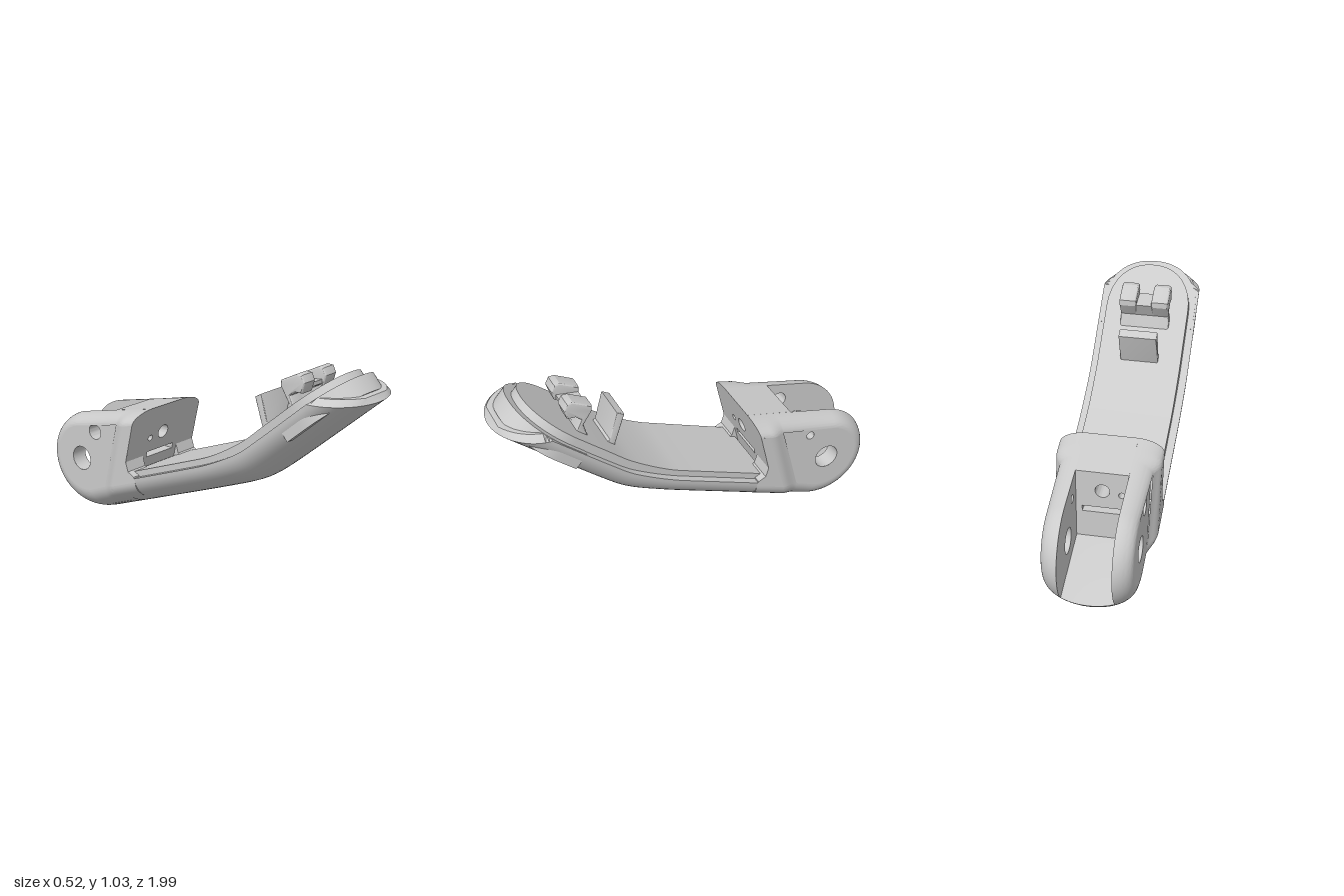
import * as THREE from 'three';
import { toCreasedNormals } from 'three/addons/utils/BufferGeometryUtils.js';

const mat = new THREE.MeshStandardMaterial({ color: 0xcccccc, side: THREE.DoubleSide });
const { smoothstep: step, lerp } = THREE.MathUtils;

function part(name, geometry, parent, crease = 0.5) {
  const mesh = new THREE.Mesh(toCreasedNormals(geometry, crease), mat);
  mesh.name = name;
  parent.add(mesh);
  return mesh;
}

// Skin a list of equal-length closed rings of [x, y, z]; optionally cap the ends with fans
function loft(rings, capped = false) {
  const n = rings[0].length, pos = rings.flat(2), idx = [];
  for (let i = 0; i < rings.length - 1; i++) {
    for (let j = 0; j < n; j++) {
      const a = i * n + j, b = i * n + (j + 1) % n;
      idx.push(a, b, a + n, b, b + n, a + n);
    }
  }
  if (capped) {
    const last = (rings.length - 1) * n;
    for (let j = 1; j < n - 1; j++) idx.push(0, j + 1, j, last, last + j, last + j + 1);
  }
  const g = new THREE.BufferGeometry();
  g.setAttribute('position', new THREE.Float32BufferAttribute(pos, 3));
  g.setIndex(idx);
  return g;
}

const shapeOf = pts => new THREE.Shape(pts.map(p => new THREE.Vector2(p[0], p[1])));
const circle = (x, y, r) => new THREE.Path().absarc(x, y, r, 0, Math.PI * 2, true);

// Flat face in the z-y plane at a given x
function sideFace(pts, x, holes = []) {
  const s = shapeOf(pts);
  holes.forEach(h => s.holes.push(circle(...h)));
  const g = new THREE.ShapeGeometry(s, 24), p = g.attributes.position;
  for (let i = 0; i < p.count; i++) p.setXYZ(i, x, p.getY(i), p.getX(i));
  g.deleteAttribute('uv');
  return g;
}

// Side profile [z, y] extruded across x
function sideExtrude(pts, x0, x1, bevel) {
  const g = new THREE.ExtrudeGeometry(shapeOf(pts), {
    depth: x1 - x0 - 2 * bevel, bevelEnabled: bevel > 0, bevelSize: bevel, bevelThickness: bevel,
    bevelOffset: -bevel, bevelSegments: 3,
  });
  return g.rotateY(-Math.PI / 2).translate(x1 - bevel, 0, 0);
}

// Underside, rim and deck heights along the bent body
const underLine = z => 0.018 + 0.377 * (z + 0.633);
const under = z => {
  const a = underLine(z), b = 0.075 + 0.845 * z;
  return (a + b + Math.hypot(a - b, 0.03)) / 2;
};
const rimDepth = z => lerp(0.165, 0.195, step(z, 0.1, 0.5));
const rim = z => under(z) + rimDepth(z);
const deckTop = z => rim(z) + lerp(0.035, 0.058, step(z, 0.1, 0.5));

// Trough-shaped body, cut level at the tip with a raised lip
function bodyGeometry() {
  const rings = [], N = 28;
  for (let i = 0; i <= 70; i++) {
    const z = -0.4 + 1.4 * Math.sin((i / 70) * Math.PI / 2);
    const top = rim(z), d = rimDepth(z), edge = Math.min(top, 0.92);
    const tm = Math.acos(Math.min(1, (top - edge) / d));
    const ring = [];
    for (let j = 0; j <= N; j++) {
      const t = tm * (2 * j / N - 1);
      ring.push([0.26 * Math.sin(t), top - d * Math.cos(t), z]);
    }
    const xi = Math.max(0, 0.26 * Math.sin(tm) - 0.035);
    const yi = Math.min(top, 0.95, 0.92 + (1 - z));
    ring.push([xi, yi, z], [-xi, yi, z]);
    rings.push(ring);
  }
  return loft(rings, true);
}

// Layer following the body with a rounded front end
function layerGeometry(z0, zEnd, w, h, height) {
  const rings = [], zs = [], round = 0.2;
  for (let i = 0; i < 30; i++) zs.push(lerp(z0, zEnd - round, i / 30));
  for (let i = 0; i <= 20; i++) zs.push(zEnd - round + round * Math.sin((i / 20) * Math.PI / 2));
  for (const z of zs) {
    const q = Math.max(0, (z - zEnd + round) / round);
    const x = w * Math.pow(Math.max(0, 1 - Math.pow(q, 2.2)), 1 / 2.2);
    const y = height(z), dz = 0.65 * h * step(z, 0.2, 0.5);
    rings.push([[-x, y, z], [-x, y - 0.76 * h, z + dz], [x, y - 0.76 * h, z + dz], [x, y, z]]);
  }
  return loft(rings, true);
}

// Hinge: rounded side outline whose edge draws in towards the outer face
const C = [-0.73, 0.275], R = 0.275, W = 0.22, SLOT = 0.13;
const A0 = 1.77, A1 = 5.074;
const frontZ = y => -0.375 + 0.065 * (y - 0.38) / 0.27;
const topLine = z => 0.65 + 0.22 * (z + 0.31);
function inset(x, k) {
  const low = 1 - Math.sqrt(Math.max(0, 1 - (x / W) ** 2));
  const q = Math.max(0, (x - 0.12) / 0.1);
  const high = 1 - Math.sqrt(Math.max(0, 1 - q * q));
  return lerp(0.135 * low, 0.06 * high, k);
}
function arc(x, from, to, n) {
  return Array.from({ length: n + 1 }, (_, i) => {
    const a = lerp(from, to, i / n), r = R - inset(x, (1 + Math.sin(a)) / 2);
    return [C[0] + r * Math.cos(a), C[1] + r * Math.sin(a)];
  });
}
const K = 8, ARC = 40;
function hingeOutline(x) {
  const it = inset(x, 1) * 1.02, ib = inset(x, 0) * 1.07;
  const us = Array.from({ length: K + 1 }, (_, k) => 0.1 * k / K);
  const top = us.map(u => [-0.47 + u, topLine(-0.47 + u) - it]).reverse();
  const bottom = us.map(u => [-0.57 + u, underLine(-0.57 + u) + ib]);
  const yTop = 0.65 - it;
  return [[frontZ(yTop), yTop], ...top, ...arc(x, A0, A1, ARC), ...bottom,
    [-0.31, underLine(-0.31) + ib], [-0.32, 0.31], [-0.36, 0.33], [-0.375, 0.38]];
}
// Sideways flare of the hinge towards the body, along a slanted crease
const flare = (x, z, y) => {
  const s = step(z - 0.2 * (y - 0.6), -0.49, -0.39);
  return SLOT + (x - SLOT) * (1 + 0.444 * s);
};

function hingeSide(side, smallHole, parent) {
  const g = new THREE.Group();
  g.name = side > 0 ? 'leftHingeCheek' : 'rightHingeCheek';
  parent.add(g);
  const holes = [[-0.74, 0.31, 0.065], [-0.635, 0.48, smallHole]];
  const t0 = Math.asin(SLOT / W), rings = [];
  for (let i = 0; i <= 14; i++) {
    const x = W * Math.sin(lerp(t0, Math.PI / 2, i / 14));
    rings.push(hingeOutline(x).map(([z, y]) => [side * flare(x, z, y), y, z]));
  }
  part('cheekEdge', loft(rings), g);
  part('cheekInnerFace', sideFace(hingeOutline(SLOT), side * SLOT, holes), g);

  // outer face: flat ear, flared strip, flat front
  const o = hingeOutline(W), firstBottom = K + 1 + ARC + 2;
  part('earFace', sideFace(o.slice(K + 1, firstBottom + 1), side * W, holes), g);
  const strip = [];
  for (let k = 0; k <= K; k++) {
    const a = o[K + 1 - k], b = o[firstBottom + k];
    strip.push([a, b].map(([z, y]) => [side * flare(W, z, y), y, z]));
  }
  part('flareFace', loft(strip), g);
  const front = [...o.slice(0, 2), ...o.slice(firstBottom + K)];
  part('cheekFrontFace', sideFace(front, side * 0.26), g);

  for (const [z, y, r] of holes) {
    const tube = new THREE.CylinderGeometry(r, r, W - SLOT, 32, 1, true).rotateZ(Math.PI / 2);
    part('pinHole', tube.translate(side * (W + SLOT) / 2, y, z), g);
  }
}

// Cross wall between the cheeks with cable holes and a slit
function wallGeometry() {
  const s = shapeOf([[-SLOT, 0.15], [SLOT, 0.15], [SLOT, 0.65], [-SLOT, 0.65]]);
  s.holes.push(circle(0, 0.49, 0.036), circle(-0.095, 0.475, 0.016));
  s.holes.push(new THREE.Path([[-0.1, 0.365], [-0.1, 0.395], [0.1, 0.395], [0.1, 0.365]]
    .map(p => new THREE.Vector2(...p))));
  const g = new THREE.ExtrudeGeometry(s, { depth: 1, bevelEnabled: false, curveSegments: 20 });
  const p = g.attributes.position;
  for (let i = 0; i < p.count; i++) {
    const y = p.getY(i), z = lerp(-0.56, frontZ(y), p.getZ(i));
    p.setXYZ(i, p.getX(i), y > 0.6 ? topLine(z) : y, z);
  }
  return g;
}

// Sloping floor of the hinge slot
function floorGeometry() {
  const rings = [];
  for (let i = 0; i <= 10; i++) {
    const x = lerp(-SLOT, SLOT, i / 10), ax = Math.abs(x);
    const pts = [...arc(ax, 3.86, A1, 18), [-0.35, underLine(-0.35) + inset(ax, 0) * 1.07],
      [-0.35, 0.25], [-0.56, 0.22]];
    rings.push(pts.map(([z, y]) => [x, y, z]));
  }
  return loft(rings, true);
}

export function createModel() {
  const model = new THREE.Group();
  model.name = 'fingerSegment';
  part('body', bodyGeometry(), model);
  part('rimLayer', layerGeometry(0.6, 0.89, 0.25, 0.09, z => rim(z) + 0.002), model);
  part('deck', layerGeometry(-0.38, 0.83, 0.22, 0.08, deckTop), model);

  const hinge = new THREE.Group();
  hinge.name = 'hinge';
  model.add(hinge);
  hingeSide(1, 0.022, hinge);
  hingeSide(-1, 0.042, hinge);
  part('crossWall', wallGeometry(), hinge);
  part('slotFloor', floorGeometry(), hinge);

  // Leaning post and split hook on the deck
  const post = [[0.48, 0.67], [0.425, 0.71], [0.385, 0.86], [0.345, 0.838], [0.4, 0.67], [0.42, 0.62]];
  part('post', sideExtrude(post, -0.1, 0.1, 0.006), model);
  const hook = [[0.54, 0.76], [0.61, 0.83], [0.58, 0.895], [0.605, 0.915], [0.645, 0.915],
    [0.662, 0.97], [0.645, 1.005], [0.615, 1.007], [0.52, 0.96], [0.52, 0.93], [0.565, 0.86]];
  part('hookLug', sideExtrude(hook, 0.04, 0.13, 0.012), model);
  part('hookLug', sideExtrude(hook, -0.13, -0.04, 0.012), model);
  const bridge = [[0.54, 0.76], [0.61, 0.83], [0.58, 0.895], [0.64, 0.93], [0.64, 0.95], [0.525, 0.935], [0.565, 0.86]];
  part('hookBridge', sideExtrude(bridge, -0.05, 0.05, 0), model);
  return model;
}
